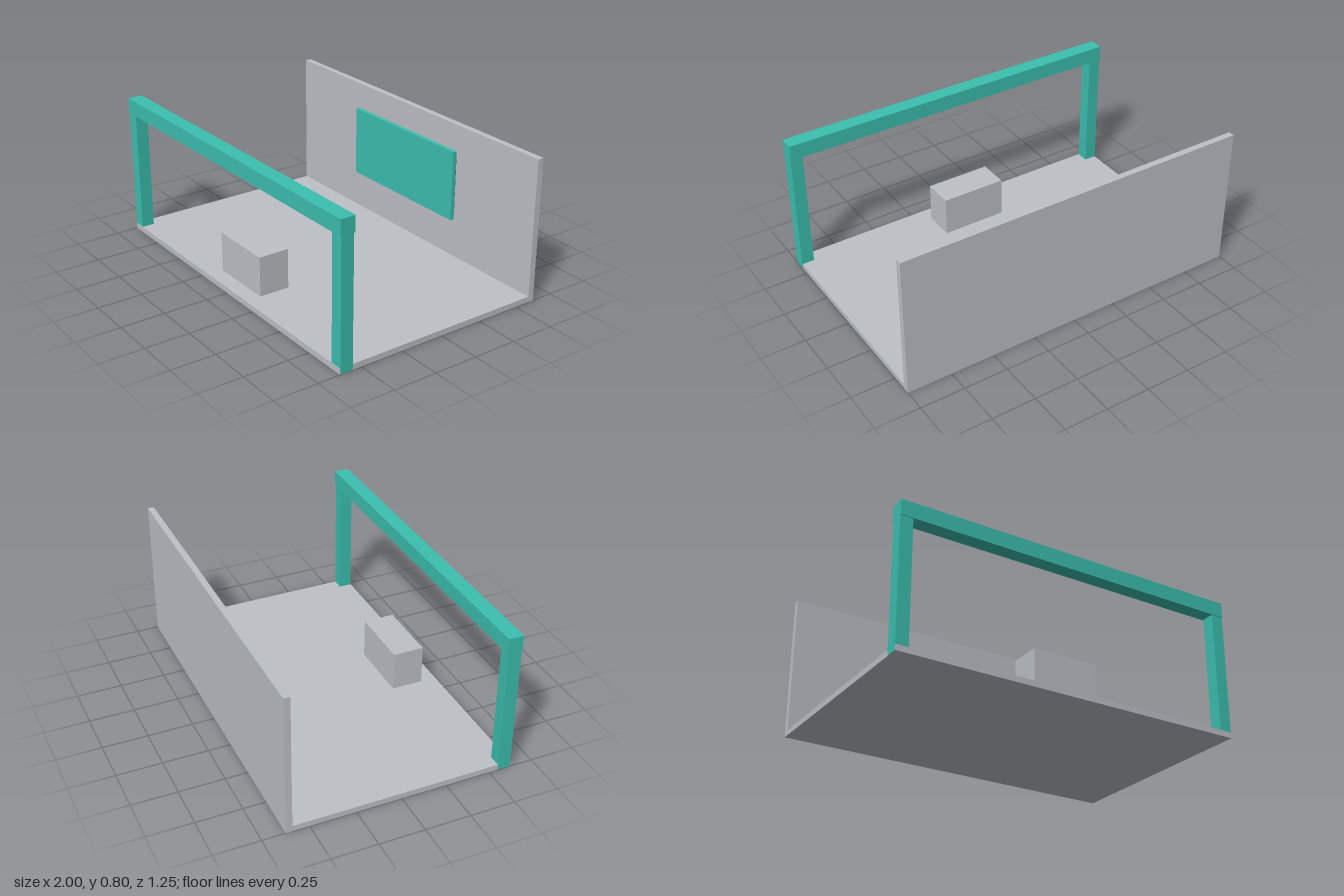
import * as THREE from 'three';

export function createModel() {
  const model = new THREE.Group();
  const material = (name, color) => {
    const m = new THREE.MeshStandardMaterial({ color });
    m.name = name;
    return m;
  };
  const grey = material('lightGrey', 0xbdc0c6);
  const teal = material('teal', 0x3bbfaf);
  const slate = material('slateBlue', 0x44617b);

  // Box given by its extents along each axis
  const block = (name, mat, [x0, x1], [y0, y1], [z0, z1]) => {
    const mesh = new THREE.Mesh(new THREE.BoxGeometry(x1 - x0, y1 - y0, z1 - z0), mat);
    mesh.position.set((x0 + x1) / 2, (y0 + y1) / 2, (z0 + z1) / 2);
    mesh.name = name;
    model.add(mesh);
  };

  // Floor, back wall and counter
  block('floor', grey, [-0.999, 0.999], [0, 0.032], [-0.59, 0.624]);
  block('backWall', grey, [-1, 1], [0, 0.8], [-0.625, -0.59]);
  block('counter', grey, [-0.186, 0.186], [0.032, 0.257], [0.361, 0.536]);

  // Front gateway: two posts and a slightly deeper beam
  block('leftPost', teal, [0.93, 1], [0.001, 0.716], [0.55, 0.622]);
  block('rightPost', teal, [-1, -0.93], [0.001, 0.716], [0.55, 0.622]);
  block('beam', teal, [-1, 1], [0.716, 0.802], [0.543, 0.626]);

  // Screen floating in front of the back wall, with its backing
  block('screen', teal, [-0.426, 0.424], [0.266, 0.663], [-0.568, -0.545]);
  block('screenBacking', slate, [-0.411, 0.409], [0.286, 0.643], [-0.583, -0.568]);

  return model;
}
